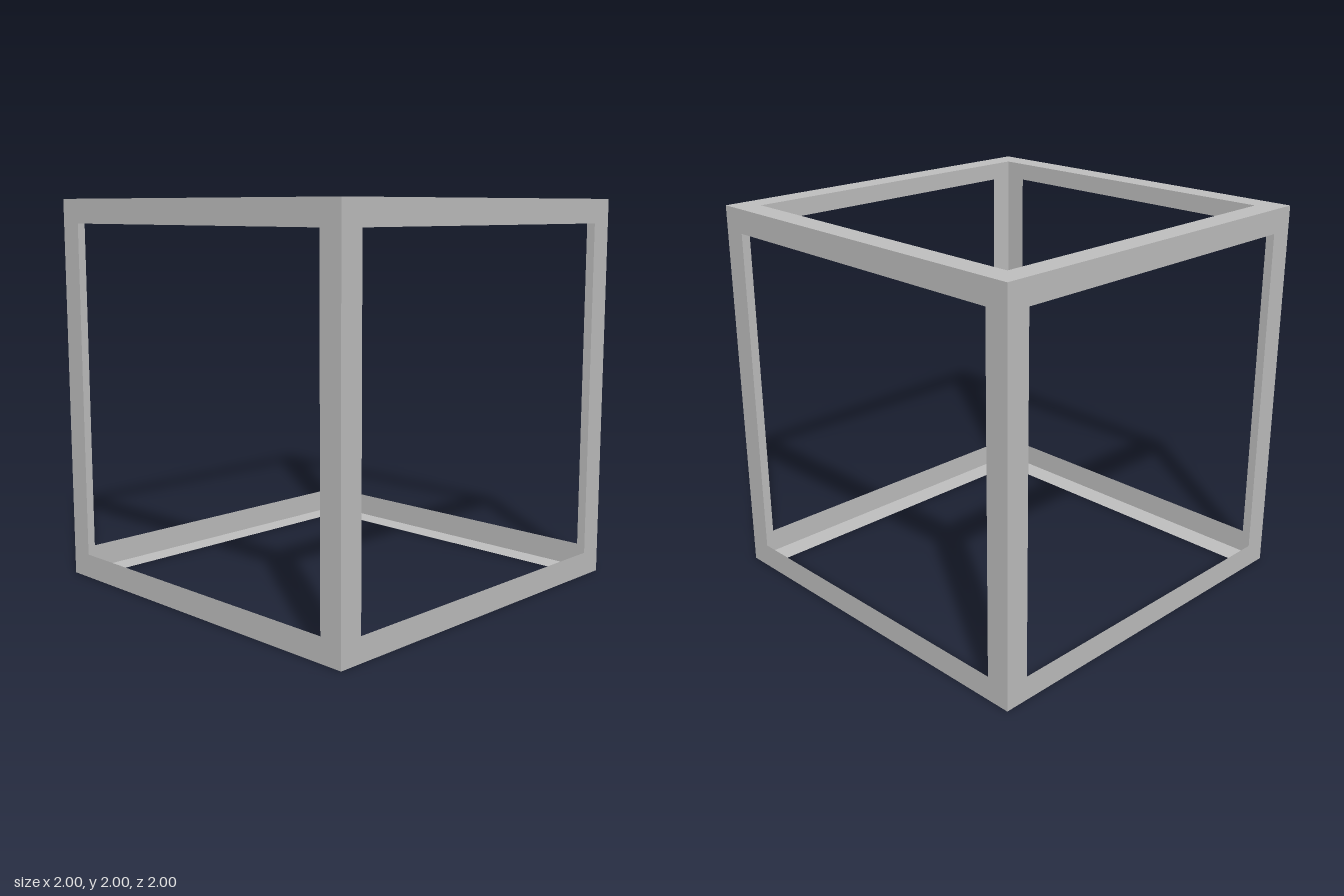
import * as THREE from 'three';

const HALF = 1;        // half the cube's edge
const INNER = 0.875;   // half the opening's edge

// Square outline, traced on a shape or a hole path
function square(path, h) {
  return path.moveTo(-h, -h).lineTo(h, -h).lineTo(h, h).lineTo(-h, h).closePath();
}

export function createModel() {
  const grey = new THREE.MeshStandardMaterial({ color: 0xc0c0c0, side: THREE.DoubleSide });
  grey.name = 'grey';

  // One flat square border, pushed out to the face of the cube
  const shape = square(new THREE.Shape(), HALF);
  shape.holes.push(square(new THREE.Path(), INNER));
  const border = new THREE.ShapeGeometry(shape).translate(0, 0, HALF);

  // The open cube: the same paper-thin border on all six sides
  const model = new THREE.Group();
  model.name = 'cubeFrame';
  const q = Math.PI / 2;
  const sides = {
    frontBorder: [0, 0], leftBorder: [0, q], backBorder: [0, 2 * q],
    rightBorder: [0, -q], topBorder: [-q, 0], bottomBorder: [q, 0],
  };
  for (const [name, [rx, ry]] of Object.entries(sides)) {
    const side = new THREE.Mesh(border, grey);
    side.name = name;
    side.rotation.set(rx, ry, 0);
    side.position.y = HALF;
    model.add(side);
  }
  return model;
}
